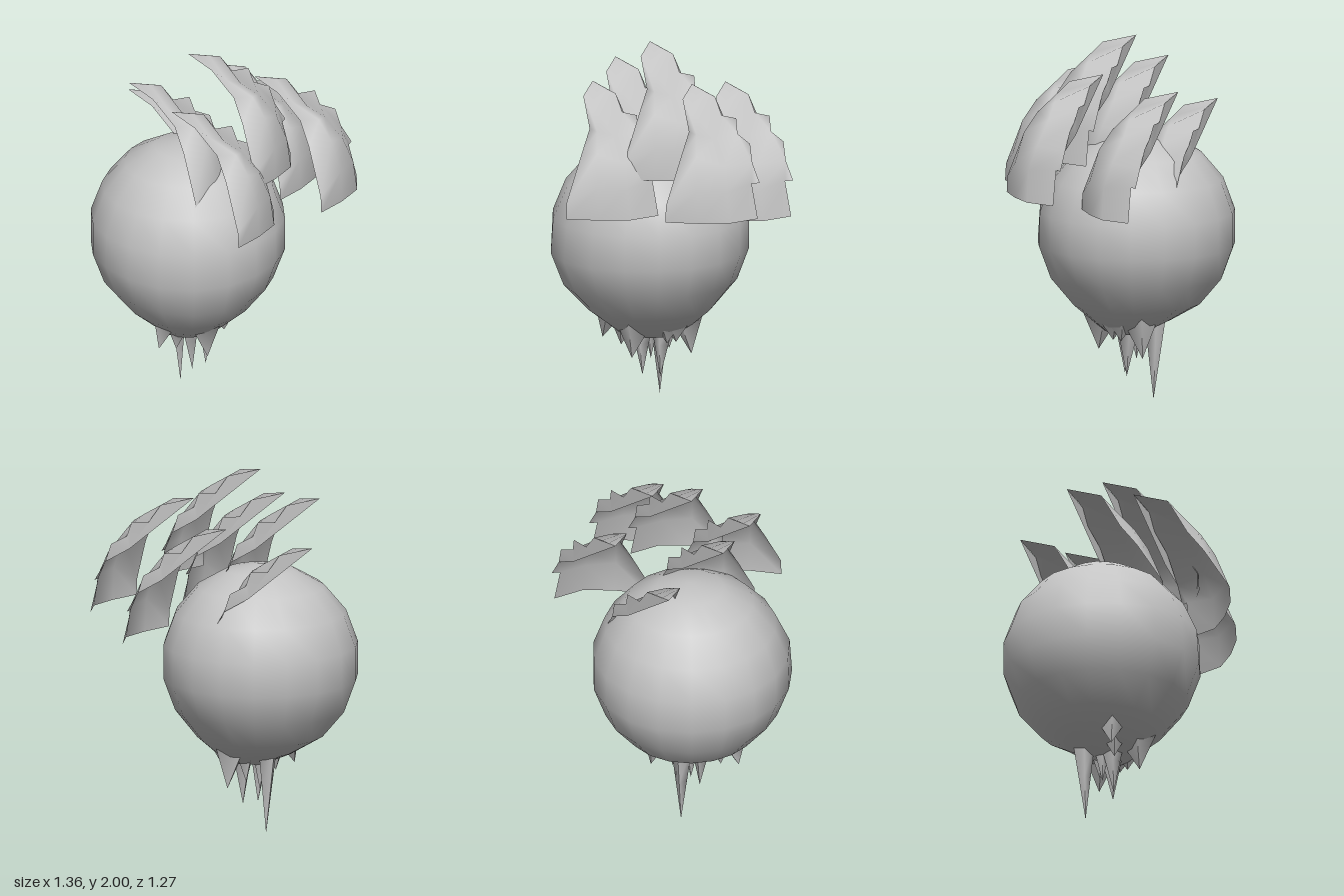
import * as THREE from 'three';

const grey = new THREE.MeshStandardMaterial({ color: 0xc4c4c4, side: THREE.DoubleSide });
grey.name = 'plain grey';

// Curved lock of hair: rows from the straight lower hem to the swept-back tip
const ROWS = [
  [[0, 0, .525], [.18, 0, .50], [.34, 0, .45], [.46, 0, .32]],
  [[0, .09, .52], [.17, .18, .50], [.32, .17, .44], [.42, .19, .30]],
  [[.045, .33, .38], [.15, .355, .445], [.29, .30, .39], [.41, .29, .25]],
  [[.065, .45, .29], [.13, .46, .37], [.22, .43, .32], [.31, .43, .19]],
  [[0, .6, .185], [.05, .55, .25], [.13, .51, .28], [.2, .507, .12]],
  [[0, .635, 0], [.05, .623, .03], [.1, .612, .06], [.155, .6, .09]],
];
// Jagged points along the right edge, each sitting between two rows
const TEETH = [[1, [.46, .19, .28]], [2, [.39, .39, .225]], [3, [.295, .51, .165]]];

function geometryFrom(pos, index) {
  const g = new THREE.BufferGeometry();
  g.setAttribute('position', new THREE.Float32BufferAttribute(pos, 3));
  g.setIndex(index);
  g.computeVertexNormals();
  return g;
}

function tuftGeometry() {
  const pos = ROWS.flat(2);
  const index = [];
  const n = 4;
  for (let r = 0; r < ROWS.length - 1; r++) {
    for (let c = 0; c < n - 1; c++) {
      const a = r * n + c, b = a + 1, d = a + n, e = d + 1;
      index.push(a, b, e, a, e, d);
    }
  }
  for (const [r, p] of TEETH) {
    index.push(r * n + n - 1, pos.length / 3, (r + 1) * n + n - 1);
    pos.push(...p);
  }
  return geometryFrom(pos, index);
}

// Wall folded down behind the jagged edge, as a fan from its lowest point
function foldGeometry() {
  const edge = [ROWS[5][0], ROWS[5][3], ROWS[4][3], TEETH[2][1], ROWS[3][3], TEETH[1][1], ROWS[2][3]];
  const index = [];
  for (let i = 1; i < edge.length; i++) index.push(0, i, i + 1);
  return geometryFrom([[.3, .36, .18], ...edge].flat(), index);
}

// Ball that swells toward its lower front corner and sags underneath
function bodyGeometry() {
  const g = new THREE.SphereGeometry(0.535, 18, 9);
  g.rotateY(Math.PI / 2);
  const p = g.attributes.position;
  const swell = new THREE.Vector3(-.6, -.25, .7).normalize();
  const v = new THREE.Vector3();
  for (let i = 0; i < p.count; i++) {
    const n = v.fromBufferAttribute(p, i).clone().normalize();
    v.addScaledVector(n, 0.045 * Math.max(0, n.dot(swell)) ** 5);
    v.x *= 1.005;
    v.y -= 0.06 * THREE.MathUtils.smoothstep(-n.y, 0.7, 0.95) * THREE.MathUtils.smoothstep(n.z, -0.3, 0.1);
    p.setXYZ(i, v.x, v.y, v.z);
  }
  return g;
}

// Four-sided spike whose apex is sheared to the given tip
function spikeGeometry(tip, base, radius) {
  const g = new THREE.ConeGeometry(radius, 1, 4, 2);
  const p = g.attributes.position;
  const d = new THREE.Vector3(...tip).sub(new THREE.Vector3(...base));
  for (let i = 0; i < p.count; i++) {
    const t = p.getY(i) + 0.5;
    p.setXYZ(i, base[0] + p.getX(i) + d.x * t, base[1] + d.y * t, base[2] - p.getZ(i) + d.z * t);
  }
  g.computeVertexNormals();
  return g;
}

export function createModel() {
  const model = new THREE.Group();
  model.name = 'tuftedBall';
  const add = (geometry, name) => {
    const m = new THREE.Mesh(geometry, grey);
    m.name = name;
    model.add(m);
    return m;
  };

  // Round body
  add(bodyGeometry(), 'body').position.set(-0.148, 0.945, -0.108);

  // Overlapping tufts on the crown
  const tuft = tuftGeometry(), fold = foldGeometry();
  const places = [
    [-.432, 1.165, .06], [.14, 1.205, .11], [-.155, 1.365, -.1],
    [-.405, 1.205, -.3], [.215, 1.115, -.29], [-.178, 1.005, -.545],
  ];
  for (const p of places) {
    add(tuft, 'crownTuft').position.set(...p);
    add(fold, 'tuftFold').position.set(...p);
  }

  // Hanging spikes: tip, base centre, base radius
  const spikes = [
    [[-.125, 0, -.19], [-.13, .5, -.2], .065],
    [[-.18, .14, -.04], [-.19, .5, -.05], .08],
    [[-.08, .14, -.04], [-.07, .5, -.05], .08],
    [[-.15, .22, -.1], [-.15, .48, -.1], .06],
    [[.075, .26, -.11], [.01, .65, -.09], .18],
    [[-.2, .27, .1], [-.19, .65, .06], .2],
    [[-.41, .33, -.06], [-.31, .65, -.05], .17],
    [[-.3, .3, -.04], [-.27, .6, -.04], .16],
    [[-.05, .28, -.11], [-.05, .5, -.1], .08],
    [[-.02, .35, .04], [-.03, .6, .03], .18],
    [[.02, .35, 0], [.0, .6, 0], .18],
  ];
  for (const s of spikes) add(spikeGeometry(...s), 'hangingSpike');

  return model;
}
